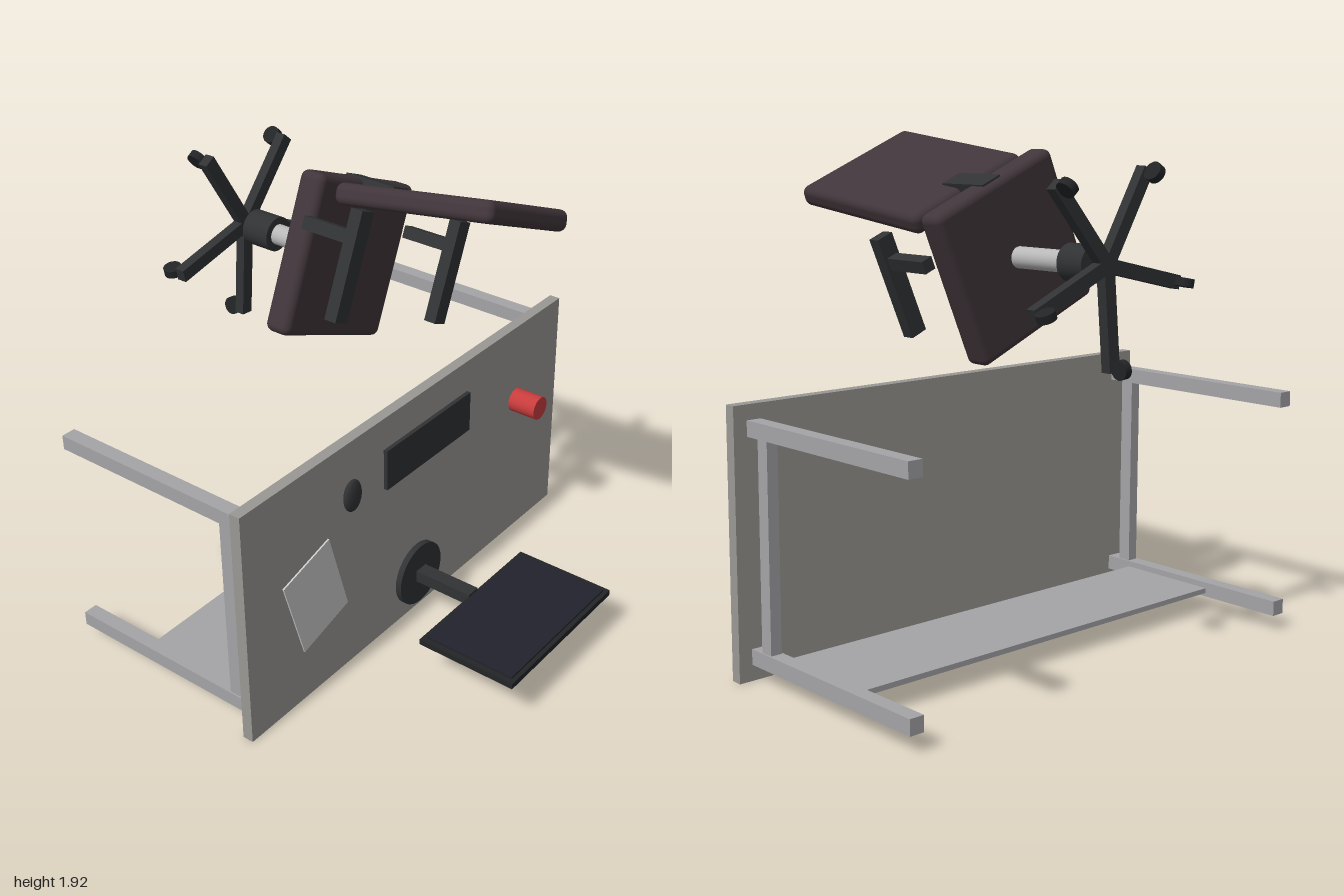
import * as THREE from 'three';
import { RoundedBoxGeometry } from 'three/addons/geometries/RoundedBoxGeometry.js';

const mat = (color) => new THREE.MeshStandardMaterial({ color });
const top = mat(0x9a9894), metal = mat(0xa4a4a8), dark = mat(0x303234), black = mat(0x222426);
const fabric = mat(0x40353a), steel = mat(0xb8b8b8), paperMat = mat(0xcccccc);
const red = mat(0xc83c3c), glass = mat(0x22222e);

function add(parent, name, geometry, material, x, y, z) {
  const mesh = new THREE.Mesh(geometry, material);
  mesh.name = name;
  mesh.position.set(x, y, z);
  parent.add(mesh);
  return mesh;
}
const box = (w, h, d) => new THREE.BoxGeometry(w, h, d);
// Upright cylinder: the furniture's own "up" is +z
const post = (r, h) => new THREE.CylinderGeometry(r, r, h, 32).rotateX(Math.PI / 2);

function createDesk() {
  const desk = new THREE.Group();
  desk.name = 'desk';
  add(desk, 'desktop', box(2, 1, 0.045), top, 0, 0.5, 0.0925);
  for (const x of [-0.917, 0.917]) {
    for (const y of [0.089, 0.915]) add(desk, 'deskLeg', box(0.058, 0.058, 0.88), metal, x, y, -0.37);
    add(desk, 'sideRail', box(0.045, 0.78, 0.055), metal, x, 0.502, -0.0125);
  }
  add(desk, 'modestyPanel', box(1.75, 0.02, 0.42), metal, 0, 0.09, -0.27);
  return desk;
}

function createDeskItems() {
  const items = new THREE.Group();
  items.name = 'deskItems';
  // Monitor, facing the chair
  add(items, 'monitorBase', post(0.135, 0.025), dark, 0, 0.175, 0.1275);
  add(items, 'monitorStand', box(0.06, 0.05, 0.26), dark, 0, 0.178, 0.265);
  add(items, 'monitorFrame', box(0.695, 0.024, 0.42), black, 0, 0.178, 0.6);
  add(items, 'monitorScreen', box(0.65, 0.01, 0.385), glass, 0, 0.193, 0.6);
  // Things lying on the desktop
  add(items, 'keyboard', box(0.54, 0.174, 0.018), dark, 0.06, 0.777, 0.123);
  add(items, 'mouse', new THREE.SphereGeometry(1, 24, 16).scale(0.048, 0.068, 0.021), dark, -0.415, 0.778, 0.129);
  add(items, 'paper', box(0.267, 0.367, 0.007), paperMat, -0.623, 0.44, 0.118).rotation.z = 0.28;
  add(items, 'mug', post(0.05, 0.125), red, 0.688, 0.655, 0.1765);
  return items;
}

function createChair() {
  const chair = new THREE.Group();
  chair.name = 'chair';
  add(chair, 'seat', new RoundedBoxGeometry(0.6, 0.6, 0.108, 4, 0.03), fabric, 0, 0, -0.243);
  // Reclined backrest and its bracket
  add(chair, 'backrest', new RoundedBoxGeometry(0.56, 0.08, 0.65, 4, 0.03), fabric, 0, 0.293, 0.175).rotation.x = -0.145;
  add(chair, 'backBracket', box(0.09, 0.055, 0.22), dark, 0, 0.278, -0.167);
  // Armrests
  for (const side of [-1, 1]) {
    add(chair, 'armPost', box(0.048, 0.048, 0.2), dark, side * 0.322, 0.122, -0.095);
    add(chair, 'armPad', box(0.07, 0.4, 0.05), dark, side * 0.322, 0.024, 0.025);
  }
  // Gas column
  add(chair, 'column', post(0.04, 0.27), steel, 0, 0, -0.425);
  add(chair, 'columnSleeve', post(0.068, 0.12), dark, 0, 0, -0.615);
  // Five-armed base with wheels
  for (let i = 0; i < 5; i++) {
    const arm = new THREE.Group();
    arm.name = 'baseArm';
    arm.rotation.z = (i * Math.PI * 2) / 5;
    add(arm, 'armBeam', box(0.375, 0.05, 0.04), dark, 0.1875, 0, -0.725);
    add(arm, 'caster', new THREE.CylinderGeometry(0.035, 0.035, 0.03, 24), black, 0.362, 0, -0.776);
    chair.add(arm);
  }
  chair.position.set(0, 1.478, 0);
  chair.rotation.z = -0.408;
  return chair;
}

export function createModel() {
  const model = new THREE.Group();
  model.name = 'deskAndChair';
  model.add(createDesk(), createDeskItems(), createChair());
  return model;
}
